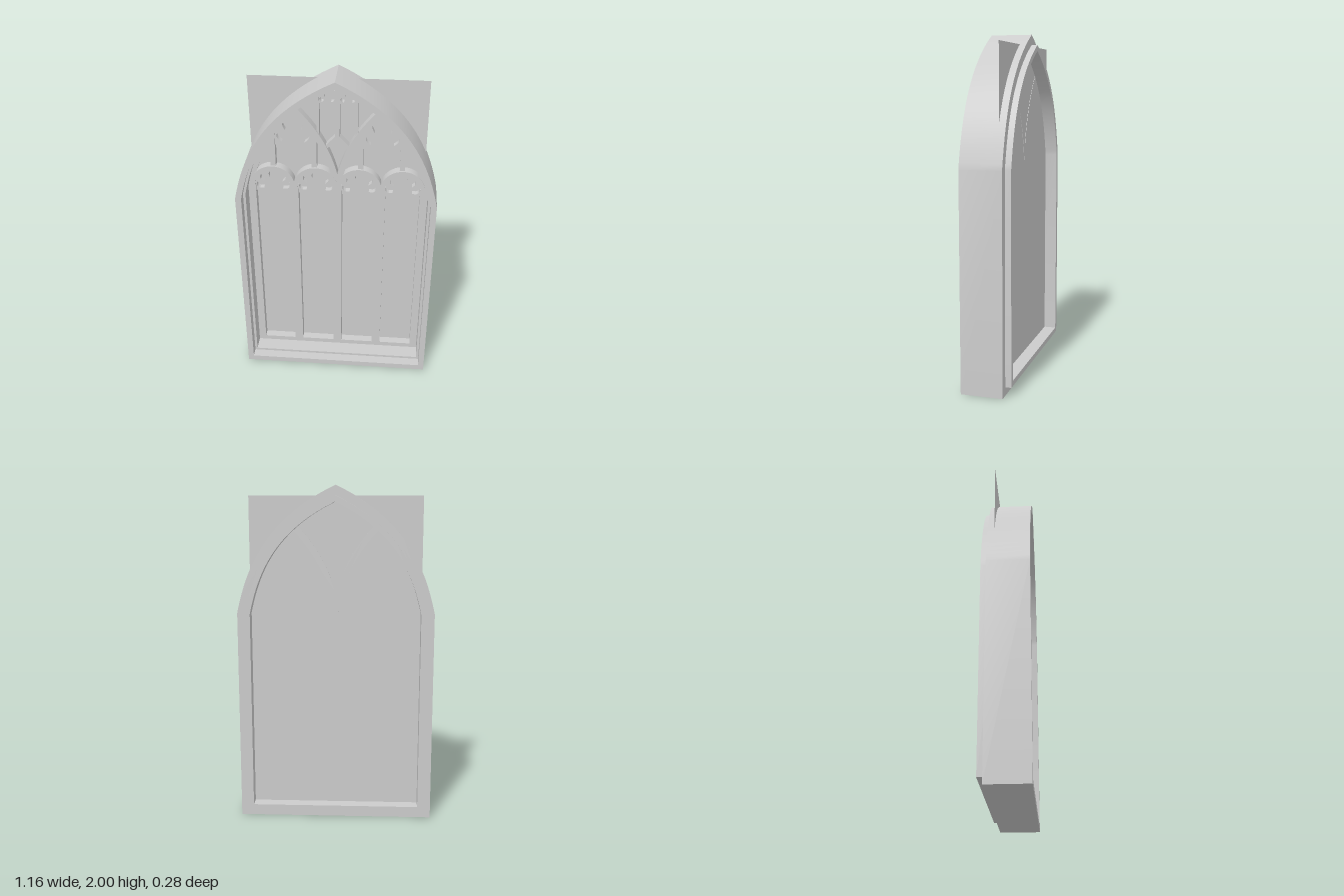
import * as THREE from 'three';
import { toCreasedNormals } from 'three/addons/utils/BufferGeometryUtils.js';

const V = (x, y) => new THREE.Vector2(x, y);
const material = new THREE.MeshStandardMaterial({ color: 0xcccccc });
const PANE_Z = -0.065, RIB_Z = -0.015;

// Outline of the pointed opening, inset by d from the outer edge
function archPoints(d) {
  const sx = (0.58 - d) / 0.58, sy = (0.74 - 1.17 * d) / 0.74;
  const p = (x, y) => V(x * sx, 1.26 + (y - 1.26) * sy);
  const side = new THREE.CubicBezierCurve(p(0.58, 1.26), p(0.52, 1.54), p(0.4, 1.81), p(0, 2)).getPoints(24);
  const other = side.slice(0, -1).reverse().map(q => V(-q.x, q.y));
  return [V(-0.58 + d, d), V(0.58 - d, d), ...side, ...other];
}

function extrude(points, z0, z1, hole) {
  const shape = new THREE.Shape(points);
  if (hole) shape.holes.push(new THREE.Path(hole));
  const geo = new THREE.ExtrudeGeometry(shape, { depth: z1 - z0, bevelEnabled: false });
  geo.translate(0, 0, z0);
  return toCreasedNormals(geo, 0.5);
}

// Strip of constant width that follows a line of points
function strip(points, width) {
  const left = [], right = [];
  points.forEach((p, i) => {
    const a = points[Math.max(i - 1, 0)], b = points[Math.min(i + 1, points.length - 1)];
    const t = b.clone().sub(a).normalize().multiplyScalar(width / 2);
    left.push(V(p.x - t.y, p.y + t.x));
    right.push(V(p.x + t.y, p.y - t.x));
  });
  return [...left, ...right.reverse()];
}

// Scalloped edge of a foiled head, from its right end over the top to its left
function foil(cx, cy, lobes, base, bulge, dip) {
  const n = lobes * 10, pts = [];
  for (let i = 0; i <= n; i++) {
    const u = i / n, a = -dip + (Math.PI + 2 * dip) * u;
    const r = base + bulge * Math.sqrt(Math.abs(Math.sin(lobes * Math.PI * u)));
    pts.push(V(cx + r * Math.cos(a), cy + r * Math.sin(a)));
  }
  return pts;
}

function arc(cx, cy, r, n = 24) {
  return Array.from({ length: n + 1 }, (_, i) => V(cx + r * Math.cos(Math.PI * i / n), cy + r * Math.sin(Math.PI * i / n)));
}

export function createModel() {
  const model = new THREE.Group();
  model.name = 'traceryWindow';
  const add = (name, geo, parent = model) => {
    const mesh = new THREE.Mesh(geo, material);
    mesh.name = name;
    parent.add(mesh);
    return mesh;
  };
  const tracery = new THREE.Group();
  tracery.name = 'tracery';
  model.add(tracery);
  const bar = (name, x, w, y0, y1, z1 = RIB_Z) => {
    const geo = new THREE.BoxGeometry(w, y1 - y0, z1 - PANE_Z - 0.001);
    geo.translate(x, (y0 + y1) / 2, (z1 + PANE_Z + 0.001) / 2);
    add(name, geo, tracery);
  };
  const plate = (name, pts, z1, z0 = PANE_Z + 0.001) => add(name, extrude(pts, z0, z1), tracery);

  // Stepped frame: [outer inset, inner inset, back, front]
  [['outerFrame', 0, 0.035, -0.105, 0.14],
   ['middleFrame', 0.035, 0.05, -0.105, 0.08],
   ['innerFrame', 0.05, 0.08, -0.14, RIB_Z]].forEach(([name, a, b, z0, z1]) =>
    add(name, extrude(archPoints(a), z0, z1, archPoints(b))));

  // Flat pane with square corners that pass through the arch
  const pane = add('pane', new THREE.PlaneGeometry(1.01, 1.88));
  pane.material = material.clone();
  pane.material.side = THREE.DoubleSide;
  pane.position.set(0, 1.0, PANE_Z);

  // Main mullions
  [-0.257, 0, 0.257].forEach(x => bar('mullion', x, 0.052, 0.075, 1.29));

  // Foiled heads of the four lights, each under a round hood
  [-0.382, -0.128, 0.128, 0.382].forEach(cx => {
    const outer = arc(cx, 1.27, 0.122);
    plate('lightHead', [...outer, V(cx - 0.122, 1.225), V(cx - 0.1, 1.225),
      ...foil(cx, 1.265, 5, 0.06, 0.04, 0.35).reverse(), V(cx + 0.1, 1.225), V(cx + 0.122, 1.225)], -0.028);
    plate('lightHood', [...arc(cx, 1.27, 0.132), ...arc(cx, 1.27, 0.106).reverse()], -0.008);
  });

  [-1, 1].forEach(s => {
    bar('jamb', s * 0.494, 0.018, 0.075, 1.28);

    // Curved rib from the central mullion to the main arch
    const rib = new THREE.QuadraticBezierCurve(V(0, 1.27), V(s * 0.04, 1.57), V(s * 0.265, 1.785)).getPoints(20);
    plate('archRib', strip(rib, 0.036), -0.01, PANE_Z - 0.002);
    const foot = new THREE.QuadraticBezierCurve(V(s * 0.265, 1.775), V(s * 0.41, 1.65), V(s * 0.49, 1.36)).getPoints(16);
    plate('outerArchRib', strip(foot, 0.025), -0.018);

    // Upper light with its pointed three-lobed head
    const cx = s * 0.255;
    [-0.12, 0.12].forEach(dx => bar('upperMullion', cx + dx, 0.03, 1.38, 1.63, -0.02));
    const half = [
      ...new THREE.QuadraticBezierCurve(V(0.065, 1.555), V(0.135, 1.6), V(0.045, 1.63)).getPoints(10),
      ...new THREE.QuadraticBezierCurve(V(0.045, 1.63), V(0.085, 1.695), V(0.018, 1.7)).getPoints(10).slice(1),
      V(0, 1.735)];
    const edge = [...half, ...half.slice(0, -1).reverse().map(p => V(-p.x, p.y))].map(p => V(p.x + cx, p.y));
    plate('upperLightHead', [V(cx + 0.11, 1.53), V(cx + 0.11, 1.63), V(cx, 1.78), V(cx - 0.11, 1.63),
      V(cx - 0.11, 1.53), ...edge.reverse()], -0.03);

    // Small light at the apex
    const ax = s * 0.058;
    bar('apexMullion', s * 0.11, 0.014, 1.6, 1.87, -0.02);
    plate('apexLightHead', [V(ax + 0.05, 1.8), V(ax + 0.05, 1.88), V(ax - 0.05, 1.88), V(ax - 0.05, 1.8),
      ...foil(ax, 1.822, 3, 0.024, 0.018, 0.4).reverse()], -0.03);
    plate('apexSill', strip([V(0, 1.605), V(s * 0.07, 1.53)], 0.02), -0.018);
  });
  bar('apexCentreMullion', 0, 0.026, 1.59, 1.91, -0.02);

  return model;
}
